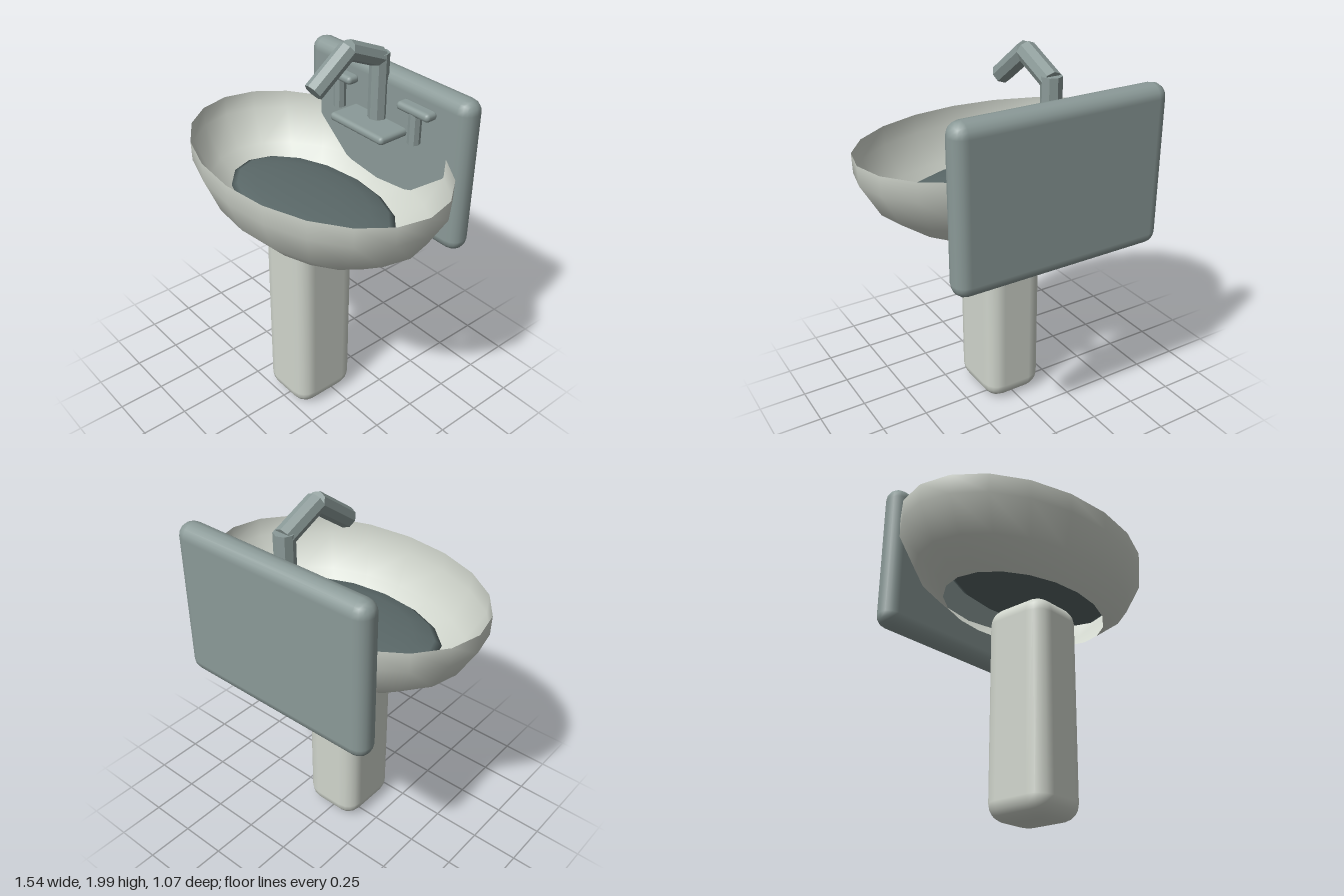
import * as THREE from 'three';
import { RoundedBoxGeometry } from 'three/addons/geometries/RoundedBoxGeometry.js';

export function createModel() {
  const group = new THREE.Group();

  const porcelain = new THREE.MeshStandardMaterial({ color: 0xd0d5cc });
  porcelain.name = 'porcelain';
  porcelain.side = THREE.DoubleSide; // the bowl is an open shell
  const steel = new THREE.MeshStandardMaterial({ color: 0x8b9a98 });
  steel.name = 'steel';
  const water = new THREE.MeshStandardMaterial({ color: 0x5a6868 });
  water.name = 'darkBasin';

  function add(name, geometry, material, x = 0, y = 0, z = 0) {
    const mesh = new THREE.Mesh(geometry, material);
    mesh.name = name;
    mesh.position.set(x, y, z);
    group.add(mesh);
    return mesh;
  }

  function roundedBox(name, material, size, centre, radius) {
    return add(name, new RoundedBoxGeometry(...size, 2, radius), material, ...centre);
  }

  // Faceted eight-sided pipe between two points
  function pipe(name, from, to, radius) {
    const a = new THREE.Vector3(...from);
    const b = new THREE.Vector3(...to);
    const dir = b.clone().sub(a);
    const geometry = new THREE.CylinderGeometry(radius, radius, dir.length(), 8).toNonIndexed();
    geometry.computeVertexNormals();
    const mid = a.add(b).multiplyScalar(0.5);
    const mesh = add(name, geometry, steel, mid.x, mid.y, mid.z);
    mesh.quaternion.setFromUnitVectors(new THREE.Vector3(0, 1, 0), dir.normalize());
  }

  // Pedestal and splash panel
  roundedBox('pedestal', porcelain, [0.33, 1.09, 0.37], [0, 0.55, 0.06], 0.09);
  roundedBox('backPanel', steel, [1.13, 0.82, 0.135], [0, 1.39, -0.4675], 0.067);

  // Oval bowl, open at top and bottom
  const profile = [[0.5, 1.1], [0.668, 1.22], [0.767, 1.39], [0.77, 1.49]]
    .map(([r, y]) => new THREE.Vector2(r, y));
  add('bowl', new THREE.LatheGeometry(profile, 20), porcelain, 0, 0, 0.015).scale.z = 0.675;

  // Flattened dark disc in the bowl
  add('basinFloor', new THREE.SphereGeometry(1, 16, 8), water, 0, 1.22, 0.047)
    .scale.set(0.525, 0.05, 0.31);

  // Tap
  roundedBox('tapBase', steel, [0.385, 0.045, 0.19], [0, 1.522, -0.325], 0.021);
  pipe('tapColumn', [0, 1.51, -0.383], [0, 1.885, -0.383], 0.05);
  pipe('tapNeck', [0, 1.86, -0.385], [0, 1.95, -0.175], 0.05);
  pipe('tapSpout', [0, 1.95, -0.18], [0, 1.795, 0.03], 0.05);

  // Handles, mirrored
  for (const [side, s] of [['left', 1], ['right', -1]]) {
    pipe(side + 'HandleStem', [s * 0.273, 1.51, -0.37], [s * 0.273, 1.67, -0.37], 0.033);
    roundedBox(side + 'HandleBar', steel, [0.215, 0.045, 0.075], [s * 0.273, 1.682, -0.375], 0.021);
  }

  return group;
}
